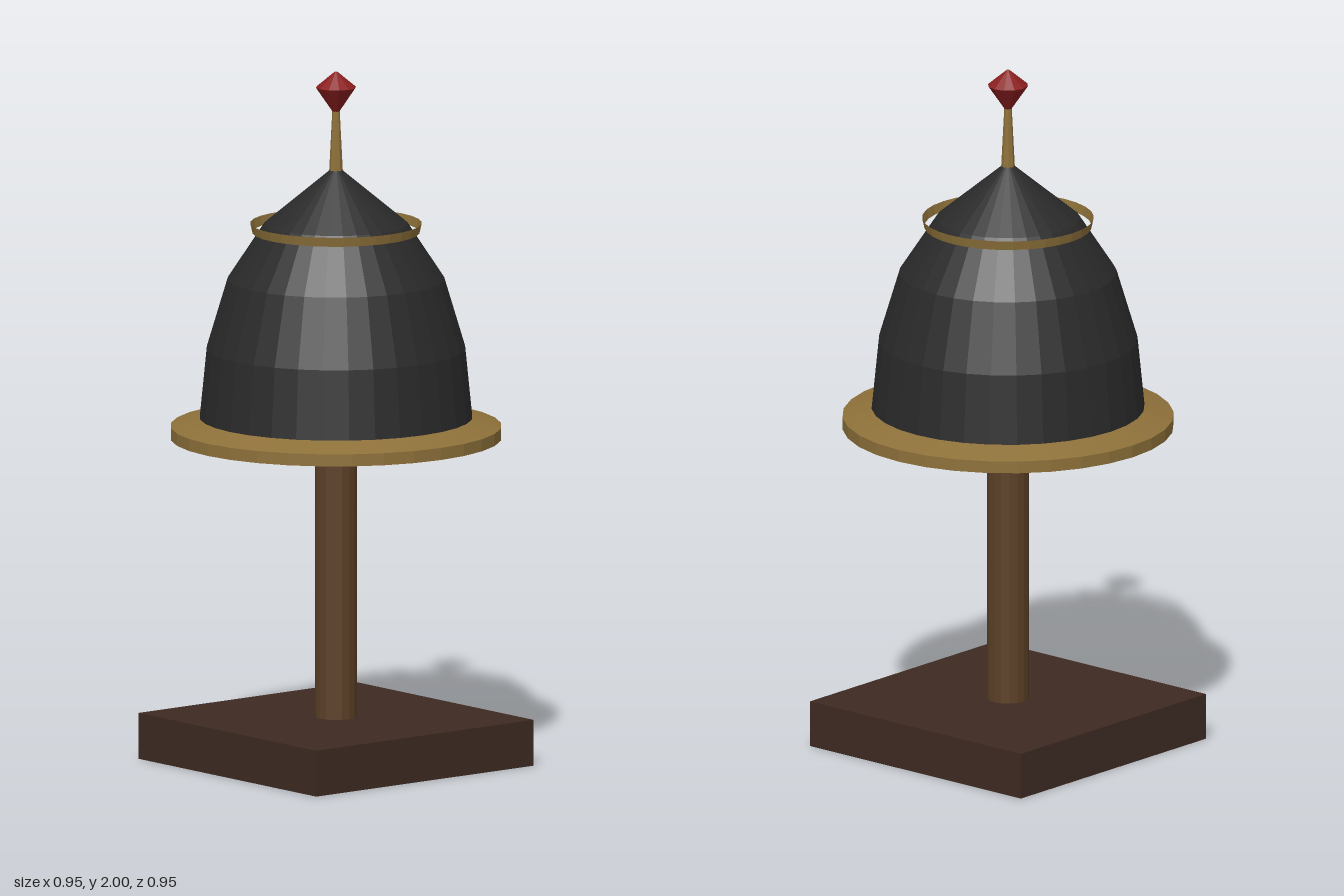
import * as THREE from 'three';

const material = (name, color, doubleSided = false) => {
  const m = new THREE.MeshStandardMaterial({ color, flatShading: true });
  m.name = name;
  if (doubleSided) m.side = THREE.DoubleSide;
  return m;
};

export function createModel() {
  const group = new THREE.Group();
  group.name = 'helmetOnStand';

  const darkWood = material('dark wood', 0x3e2a22);
  const paleWood = material('post wood', 0x5c4027);
  const steel = material('black steel', 0x2a2a2a, true);
  const brass = material('brass', 0x8e713a, true);
  const red = material('red', 0x8b1e1e, true);

  const add = (name, geometry, mat, y = 0) => {
    const mesh = new THREE.Mesh(geometry, mat);
    mesh.name = name;
    mesh.position.y = y;
    group.add(mesh);
  };
  // Profiles are [radius, height] pairs, listed from bottom to top
  const lathe = (profile, sides) =>
    new THREE.LatheGeometry(profile.map(([r, y]) => new THREE.Vector2(r, y)), sides);

  // Stand
  add('base', new THREE.BoxGeometry(0.8, 0.133, 0.8), darkWood, 0.0665);
  add('post', new THREE.CylinderGeometry(0.06, 0.06, 0.867, 16), paleWood, 0.5665);

  // Hollow bell-shaped dome with a conical crown
  add('dome', lathe([[0.39, 1.0], [0.37, 1.2], [0.31, 1.4], [0.205, 1.56], [0, 1.73]], 32), steel);

  // Sloping brim with an upright outer edge
  add('brim', lathe([[0.39, 1.0], [0.39, 0.965], [0.473, 0.94], [0.473, 0.975], [0.39, 1.0]], 32), brass);

  // Thin open band around the crown
  add('crownBand', lathe([[0.239, 1.535], [0.245, 1.562]], 32), brass);

  // Spike and faceted finial
  add('spike', new THREE.CylinderGeometry(0.005, 0.02, 0.295, 8), brass, 1.8525);
  add('finial', lathe([[0.01, 1.885], [0.058, 1.955], [0.004, 2.0]], 12), red);

  return group;
}
